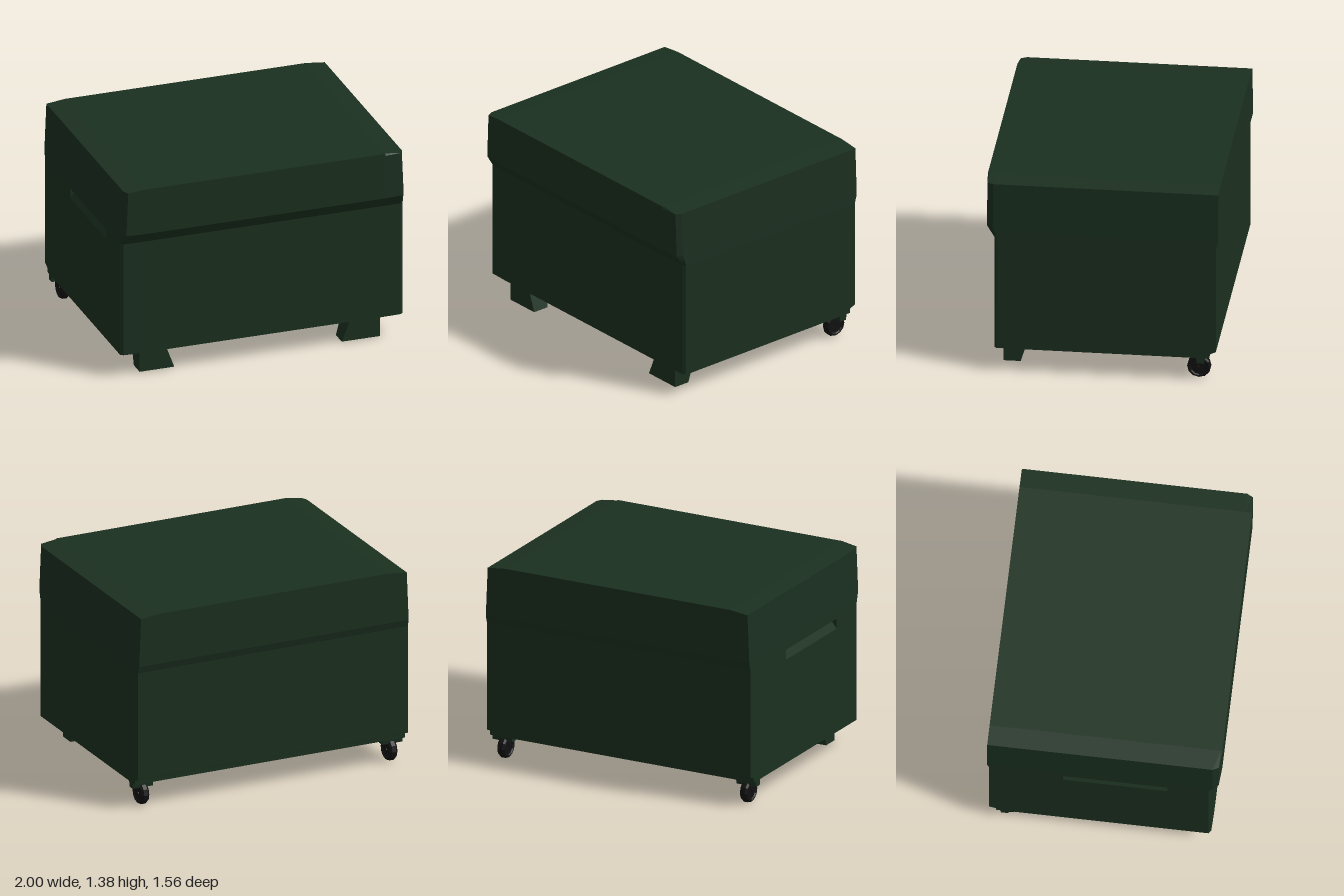
import * as THREE from 'three';

const green = new THREE.MeshStandardMaterial({ color: 0x1b3020, flatShading: true });
const greenDouble = new THREE.MeshStandardMaterial({ color: 0x1b3020, flatShading: true, side: THREE.DoubleSide });
const black = new THREE.MeshStandardMaterial({ color: 0x111111, flatShading: true });

function mesh(name, geometry, material) {
  const m = new THREE.Mesh(geometry, material);
  m.name = name;
  return m;
}

function fromTriangles(points) {
  const g = new THREE.BufferGeometry().setFromPoints(points);
  g.computeVertexNormals();
  return g;
}

// Horizontal outline with cut front corners, running from the back right corner round the front
function ring([y, w, zb, zf, cut, shoulder = w]) {
  const half = [[0.85, zf], [w - 0.02, zf - cut * 0.2], [w, zf - cut], [w, zb]];
  const pts = [...half.map(([x, z]) => [-x, z]).reverse(), ...half];
  return pts.map(([x, z]) => new THREE.Vector3(THREE.MathUtils.clamp(x, -shoulder, shoulder), y, z));
}

// Block whose top and bottom rectangles differ: [x0, x1, z0, z1]
function block(y0, y1, bottom, top) {
  const g = new THREE.BoxGeometry(1, 1, 1);
  const p = g.attributes.position;
  for (let i = 0; i < p.count; i++) {
    const r = p.getY(i) > 0 ? top : bottom;
    p.setXYZ(i, r[p.getX(i) > 0 ? 1 : 0], p.getY(i) > 0 ? y1 : y0, r[p.getZ(i) > 0 ? 3 : 2]);
  }
  g.computeVertexNormals();
  return g;
}

const SLOT = { z0: -0.27, z1: 0.43, y0: 0.9, y1: 0.97, depth: 0.05 };

function bodyGeometry() {
  // y, half width, back z, front z, corner cut, shoulder half width
  const levels = [
    [0.17, 1, -0.72, 0.725, 0.02],
    [0.2, 1, -0.72, 0.725, 0.02],
    [0.22, 1, -0.765, 0.725, 0.02],
    [0.98, 1, -0.765, 0.725, 0.02],
    [1.03, 0.999, -0.78, 0.76, 0.04],
    [1.06, 0.998, -0.78, 0.78, 0.05],
    [1.37, 0.985, -0.78, 0.78, 0.05],
    [1.385, 0.985, -0.78, 0.78, 0.05, 0.85],
  ];
  const rings = levels.map(ring);
  const tris = [];
  for (let k = 0; k < rings.length - 1; k++) {
    const a = rings[k], b = rings[k + 1], n = a.length;
    for (let i = 0; i < n; i++) {
      if (k === 2 && i === 0) continue; // this wall carries the hand slot
      const j = (i + 1) % n;
      tris.push(a[i], a[j], b[j], a[i], b[j], b[i]);
    }
  }
  // Lid and floor
  const low = rings[0], top = rings[rings.length - 1];
  for (let i = 1; i < low.length - 1; i++) {
    tris.push(top[0], top[i], top[i + 1], low[0], low[i + 1], low[i]);
  }
  return fromTriangles(tris);
}

function rectangle(Type, z0, z1, y0, y1) {
  return new Type([[z0, y0], [z1, y0], [z1, y1], [z0, y1]].map(([z, y]) => new THREE.Vector2(z, y)));
}

// Right wall with an opening
function slottedWall() {
  const shape = rectangle(THREE.Shape, -0.765, 0.705, 0.22, 0.98);
  shape.holes.push(rectangle(THREE.Path, SLOT.z0, SLOT.z1, SLOT.y0, SLOT.y1));
  return new THREE.ShapeGeometry(shape).rotateY(-Math.PI / 2).translate(-1, 0, 0);
}

// Wedge-shaped recess: sloping face, ceiling and two ends
function slotRecess() {
  const { z0, z1, y0, y1, depth } = SLOT;
  const [a, b, c] = [[-1, y0], [-1 + depth, y1], [-1, y1]].map(([x, y]) =>
    [new THREE.Vector3(x, y, z0), new THREE.Vector3(x, y, z1)]);
  const quad = (p, q) => [p[0], p[1], q[1], p[0], q[1], q[0]];
  return fromTriangles([...quad(a, b), ...quad(b, c), a[0], b[0], c[0], a[1], c[1], b[1]]);
}

export function createModel() {
  const group = new THREE.Group();
  group.name = 'wheeledChest';

  group.add(mesh('body', bodyGeometry(), green));
  group.add(mesh('rightWall', slottedWall(), greenDouble));
  group.add(mesh('handSlot', slotRecess(), greenDouble));

  // Front feet, flaring inwards towards the ground
  group.add(mesh('rightFoot', block(0.01, 0.17, [-0.85, -0.605, 0.56, 0.675], [-0.85, -0.665, 0.51, 0.675]), green));
  group.add(mesh('leftFoot', block(0.01, 0.17, [0.58, 0.85, 0.56, 0.675], [0.645, 0.85, 0.51, 0.675]), green));

  // Rear casters: bevelled wheel with an open axle hole, under a small bracket
  const profile = [[0.01, -0.02], [0.055, -0.02], [0.062, -0.028], [0.07, -0.028], [0.08, -0.014],
    [0.08, 0.014], [0.07, 0.028], [0.062, 0.028], [0.055, 0.02], [0.01, 0.02], [0.01, -0.02]]
    .map(([r, h]) => new THREE.Vector2(r, h));
  for (const [side, s] of [['left', 1], ['right', -1]]) {
    const wheel = mesh(side + 'Wheel', new THREE.LatheGeometry(profile, 12).rotateZ(Math.PI / 2), black);
    wheel.position.set(s * 0.92, 0.08, -0.645);
    const [x0, x1] = s > 0 ? [0.85, 1] : [-1, -0.85];
    const bracket = mesh(side + 'CasterBracket',
      block(0.13, 0.175, [x0, x1, -0.685, -0.637], [x0, x1, -0.692, -0.63]), green);
    group.add(wheel, bracket);
  }
  return group;
}
